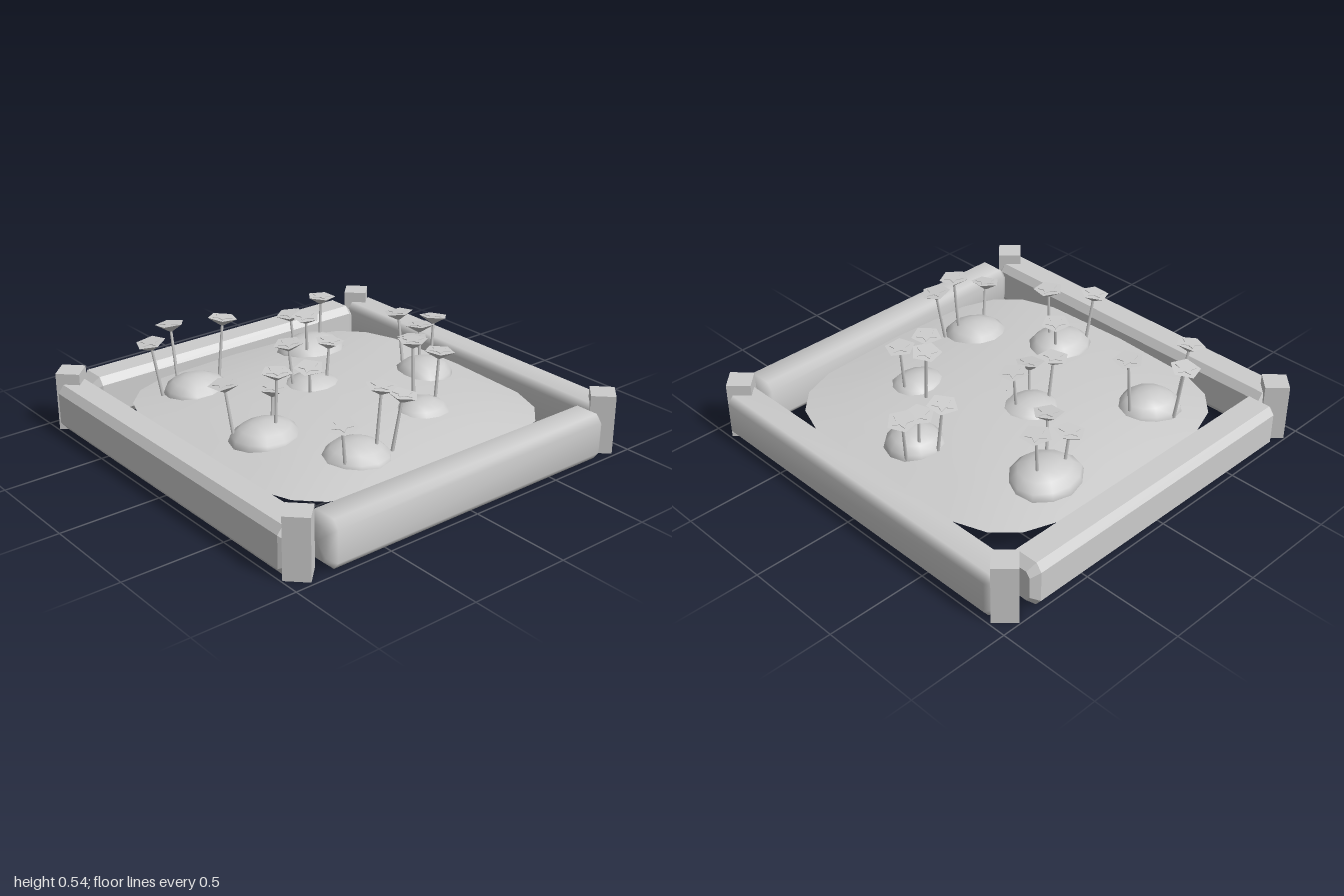
import * as THREE from 'three';
import { mergeVertices, toCreasedNormals } from 'three/addons/utils/BufferGeometryUtils.js';

const stone = new THREE.MeshStandardMaterial({ color: 0xcccccc, side: THREE.DoubleSide });
stone.name = 'pale grey';

// Mounds: x, z, radius x, radius z, top height, and flower heads [x, z, height]
const MOUNDS = [
  [-0.56, -0.31, 0.165, 0.19, 0.28, [[-0.575, -0.385, 0.47], [-0.6, -0.205, 0.41], [-0.465, -0.2, 0.44]]],
  [0.04, -0.555, 0.155, 0.15, 0.28, [[-0.055, -0.7, 0.44], [-0.13, -0.53, 0.48], [-0.05, -0.6, 0.42]]],
  [0.37, -0.24, 0.145, 0.16, 0.265, [[0.36, -0.35, 0.475], [0.21, -0.32, 0.505], [0.285, -0.25, 0.53]]],
  [-0.16, 0, 0.16, 0.17, 0.27, [[-0.13, -0.08, 0.44], [-0.19, 0.12, 0.46], [-0.055, 0.1, 0.375]]],
  [0.52, 0.29, 0.16, 0.165, 0.27, [[0.62, 0.115, 0.475], [0.59, 0.21, 0.53], [0.6, 0.435, 0.41]]],
  [-0.52, 0.44, 0.15, 0.165, 0.275, [[-0.52, 0.275, 0.53], [-0.705, 0.455, 0.485], [-0.58, 0.645, 0.475]]],
  [0.13, 0.5, 0.155, 0.18, 0.285, [[0.08, 0.42, 0.4], [0.18, 0.47, 0.53], [0.05, 0.66, 0.48]]],
];

function add(parent, geometry, name, x = 0, y = 0, z = 0) {
  const mesh = new THREE.Mesh(geometry, stone);
  mesh.name = name;
  mesh.position.set(x, y, z);
  parent.add(mesh);
  return mesh;
}

// Apply a rule to every vertex
function reshape(geometry, rule) {
  const p = geometry.attributes.position;
  const v = new THREE.Vector3();
  for (let i = 0; i < p.count; i++) {
    rule(v.fromBufferAttribute(p, i));
    p.setXYZ(i, v.x, v.y, v.z);
  }
  geometry.deleteAttribute('uv');
  geometry.deleteAttribute('normal');
  const merged = mergeVertices(geometry, 1e-5);
  merged.computeVertexNormals();
  return merged;
}

const power = (v, e) => Math.sign(v) * Math.abs(v) ** e;

// Squarish log with tapered ends, lying along x
function logGeometry(half, faceted) {
  const profile = [[0, -half], [0.68, -half], [1, 0.04 - half], [1, half - 0.04], [0.68, half], [0, half]]
    .map(([r, y]) => new THREE.Vector2(r, y));
  const sides = 8;
  const geometry = reshape(new THREE.LatheGeometry(profile, sides, Math.PI / sides), (v) => {
    const r = Math.hypot(v.x, v.z);
    if (r < 1e-6) return;
    v.x = 0.115 * r * power(v.x / r, 0.45) / 0.965;
    v.z = 0.088 * r * power(v.z / r, 0.45) / 0.965;
  });
  geometry.rotateZ(Math.PI / 2);
  return faceted ? toCreasedNormals(geometry, 0.5) : geometry;
}

// Gently domed bed with a rounded-square outline
function soilGeometry() {
  return reshape(new THREE.RingGeometry(0.001, 1, 20, 6).rotateX(-Math.PI / 2), (v) => {
    const r = Math.hypot(v.x, v.z);
    const e = 1 - 0.5 * r;
    v.x = 0.82 * r * power(v.x / r, e);
    v.z = 0.82 * r * power(v.z / r, e);
    v.y = 0.235 - 0.07 * r ** 2.5;
  });
}

// Lumpy flattened ball
function moundGeometry(rx, ry, rz, seed) {
  return reshape(new THREE.SphereGeometry(1, 12, 8), (v) => {
    const k = 1 + 0.06 * Math.sin(3 * v.x + seed * 2.1) * Math.cos(2.5 * v.z + seed);
    v.x *= rx * k;
    v.y *= ry;
    v.z *= rz * k;
  });
}

// Five-sided flower cup and the star on its face
const cup = toCreasedNormals(new THREE.CylinderGeometry(0.075, 0.008, 0.04, 5), 0.3);
const starShape = new THREE.Shape(Array.from({ length: 10 }, (_, i) => {
  const a = i * Math.PI / 5;
  const r = i % 2 ? 0.027 : 0.052;
  return new THREE.Vector2(Math.sin(a) * r, -Math.cos(a) * r);
}));
const star = new THREE.ExtrudeGeometry(starShape, { depth: 0.003, bevelEnabled: false }).rotateX(-Math.PI / 2);

function addFlower(parent, [x, z, h], mx, mz, spin) {
  const base = new THREE.Vector3(x + 0.2 * (mx - x), 0.19, z + 0.2 * (mz - z));
  const top = new THREE.Vector3(x, h - 0.03, z);
  const dir = top.clone().sub(base);
  const length = dir.length();
  const flower = new THREE.Group();
  flower.name = 'flower';
  flower.position.copy(base);
  flower.quaternion.setFromUnitVectors(new THREE.Vector3(0, 1, 0), dir.normalize());
  add(flower, new THREE.CylinderGeometry(0.007, 0.009, length, 5), 'stem', 0, length / 2, 0);
  const head = new THREE.Group();
  head.name = 'flowerHead';
  head.position.y = length;
  head.rotation.y = spin;
  add(head, cup, 'petals', 0, 0.01, 0);
  add(head, star, 'flowerStar', 0, 0.03, 0);
  flower.add(head);
  parent.add(flower);
}

export function createModel() {
  const model = new THREE.Group();
  model.name = 'flowerBed';

  // Frame logs
  add(model, logGeometry(0.92, true), 'frontLog', 0, 0.125, 0.912);
  add(model, logGeometry(0.92, false), 'backLog', 0, 0.125, -0.912);
  add(model, logGeometry(0.825, false), 'leftLog', 0.912, 0.125, 0).rotation.y = Math.PI / 2;
  add(model, logGeometry(0.825, true), 'rightLog', -0.912, 0.125, 0).rotation.y = Math.PI / 2;

  // Corner posts, turned to show an edge outward
  for (const x of [-0.91, 0.9])
    for (const z of [-0.905, 0.91])
      add(model, new THREE.BoxGeometry(0.118, 0.295, 0.118), 'cornerPost', x, 0.1475, z).rotation.y = Math.PI / 4;

  add(model, soilGeometry(), 'soil');

  // Mounds with three flowers each
  MOUNDS.forEach(([x, z, rx, rz, top, flowers], i) => {
    add(model, moundGeometry(rx, 0.1, rz, i), 'mound', x, top - 0.1, z);
    flowers.forEach((f, j) => addFlower(model, f, x, z, i * 1.7 + j * 0.9));
  });

  return model;
}
